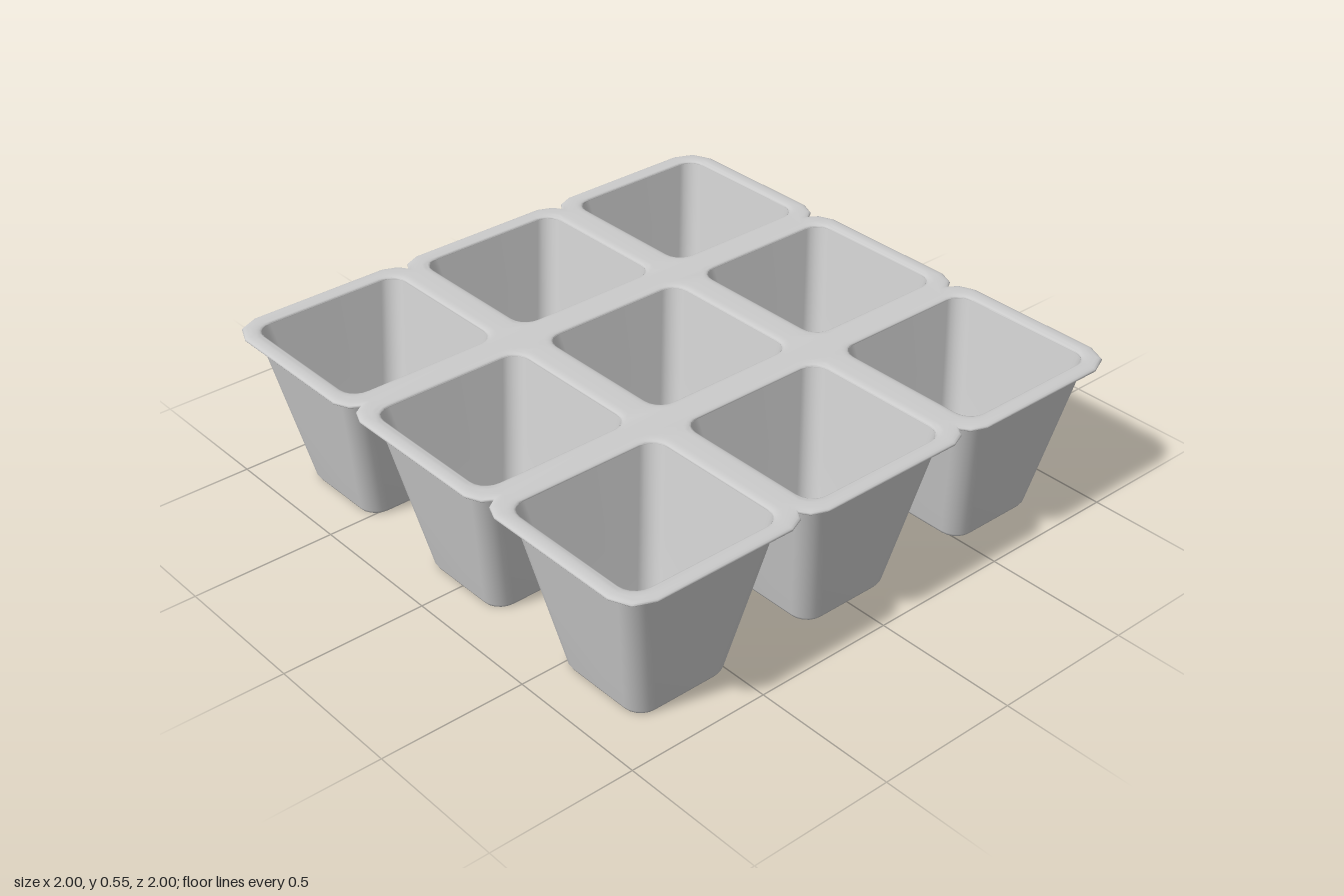
import * as THREE from 'three';
import { toCreasedNormals } from 'three/addons/utils/BufferGeometryUtils.js';

const PITCH = 0.667; // spacing of the cells
const PER_CORNER = 6;
const SIDES = PER_CORNER * 4;
const material = new THREE.MeshStandardMaterial({ color: 0xcccccc, side: THREE.DoubleSide });

// Rounded square as [x, z] points
function roundedSquare(half, r, cx = 0, cz = 0) {
  const points = [];
  for (let q = 0; q < 4; q++) {
    const mid = Math.PI / 4 + (q * Math.PI) / 2;
    const ox = cx + Math.sign(Math.cos(mid)) * (half - r);
    const oz = cz + Math.sign(Math.sin(mid)) * (half - r);
    for (let i = 0; i < PER_CORNER; i++) {
      const a = (q + i / (PER_CORNER - 1)) * Math.PI / 2;
      points.push([ox + r * Math.cos(a), oz + r * Math.sin(a)]);
    }
  }
  return points;
}

// Six-sided drain hole with as many points as the rounded squares
function hexagon(r) {
  const points = [];
  const step = Math.PI / 3;
  for (let i = 0; i < SIDES; i++) {
    const a = (i * 2 * Math.PI) / SIDES;
    const d = (r * Math.cos(step / 2)) / Math.cos((a % step) - step / 2);
    const turn = a + Math.PI / SIDES;
    points.push([d * Math.cos(turn), d * Math.sin(turn)]);
  }
  return points;
}

// Skin over a row of rings, each { y, points }
function loft(rings) {
  const positions = [], index = [];
  rings.forEach(({ y, points }) => points.forEach(([x, z]) => positions.push(x, y, z)));
  for (let k = 0; k < rings.length - 1; k++) {
    for (let i = 0; i < SIDES; i++) {
      const a = k * SIDES + i, b = k * SIDES + ((i + 1) % SIDES);
      index.push(a, b, a + SIDES, b, b + SIDES, a + SIDES);
    }
  }
  const geometry = new THREE.BufferGeometry();
  geometry.setAttribute('position', new THREE.Float32BufferAttribute(positions, 3));
  geometry.setIndex(index);
  geometry.computeVertexNormals();
  return geometry;
}

// Tapered pot: down the outside, through the drain hole, up the inside
function potGeometry() {
  const ring = (y, half, r) => ({ y, points: roundedSquare(half, r) });
  return loft([
    ring(0.54, 0.287, 0.065),
    ring(0.27, 0.234, 0.065),
    ring(0.012, 0.183, 0.065),
    ring(0, 0.176, 0.06),
    { y: 0, points: hexagon(0.057) },
    { y: 0.014, points: hexagon(0.057) },
    ring(0.016, 0.165, 0.055),
    ring(0.03, 0.173, 0.058),
    ring(0.27, 0.222, 0.058),
    ring(0.544, 0.275, 0.058),
  ]);
}

// Thin top sheet, notched between cells, with rolled edges
function rimGeometry() {
  const notch = [[-0.41, 0.975], [-0.37, 0.958], [-0.333, 0.912], [-0.297, 0.958], [-0.257, 0.975]];
  const side = [
    [-0.9, 0.975],
    ...notch,
    ...notch.map(([x, y]) => [-x, y]).reverse(),
    [0.9, 0.975],
    [0.952, 0.952],
  ];
  const outline = [];
  for (let q = 0; q < 4; q++) {
    const c = Math.round(Math.cos(q * Math.PI / 2)), s = Math.round(Math.sin(q * Math.PI / 2));
    side.forEach(([x, y]) => outline.push(new THREE.Vector2(c * x + s * y, -s * x + c * y)));
  }
  const shape = new THREE.Shape(outline);
  for (let i = -1; i <= 1; i++) {
    for (let j = -1; j <= 1; j++) {
      const hole = roundedSquare(0.303, 0.085, i * PITCH, j * PITCH);
      shape.holes.push(new THREE.Path(hole.map(([x, y]) => new THREE.Vector2(x, y))));
    }
  }
  const geometry = new THREE.ExtrudeGeometry(shape, {
    depth: 0.002, bevelEnabled: true, bevelThickness: 0.008, bevelSize: 0.027, bevelSegments: 4,
  });
  geometry.rotateX(-Math.PI / 2);
  geometry.translate(0, 0.543, 0);
  return toCreasedNormals(geometry, 1);
}

export function createModel() {
  const group = new THREE.Group();
  group.name = 'seedTray';

  const rim = new THREE.Mesh(rimGeometry(), material);
  rim.name = 'rim';
  group.add(rim);

  // Three by three pots
  const pot = potGeometry();
  for (let i = -1; i <= 1; i++) {
    for (let j = -1; j <= 1; j++) {
      const mesh = new THREE.Mesh(pot, material);
      mesh.name = 'pot';
      mesh.position.set(i * PITCH, 0, j * PITCH);
      group.add(mesh);
    }
  }
  return group;
}
